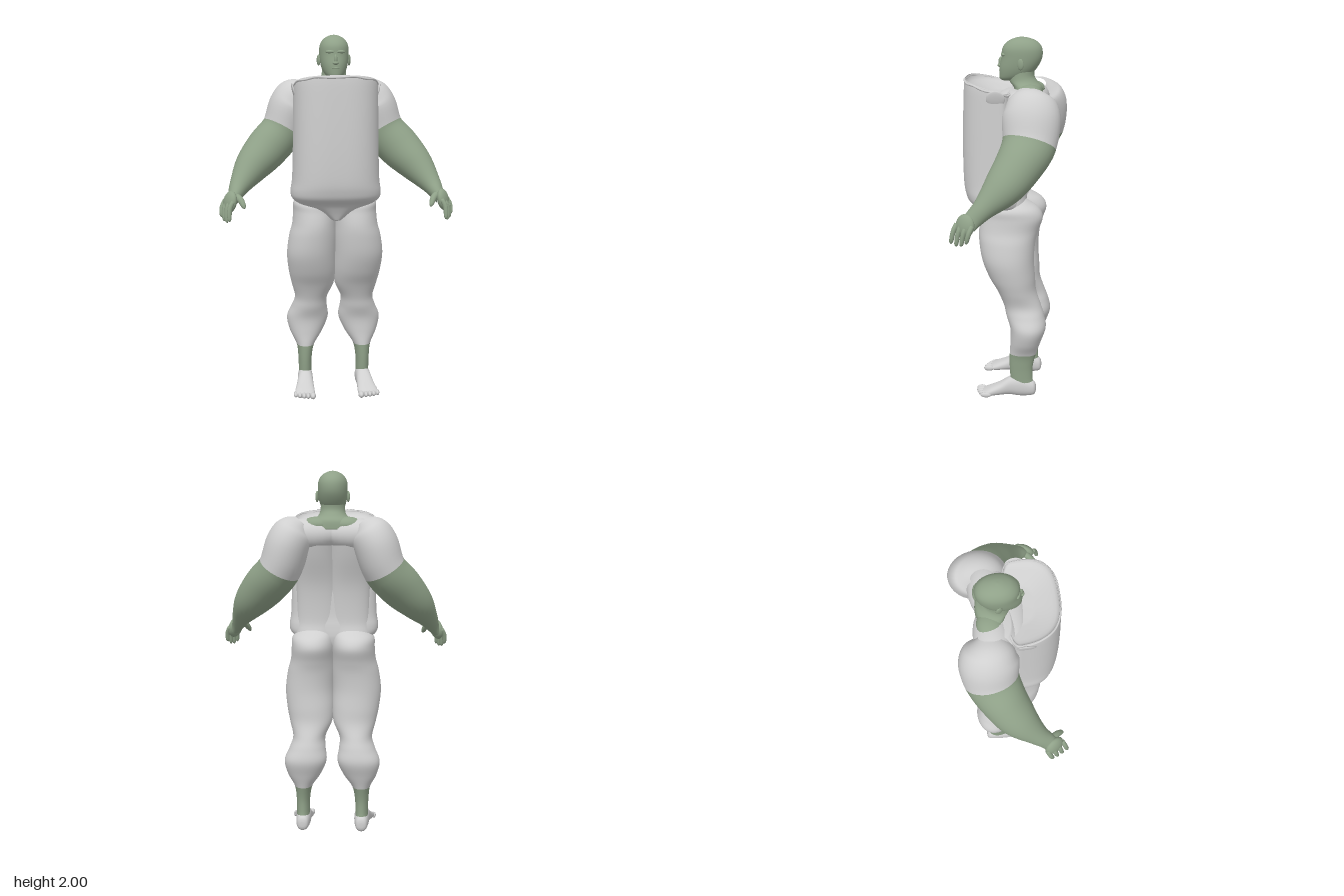
import * as THREE from 'three';

const V = (x, y, z) => new THREE.Vector3(x, y, z);

// Catmull-Rom resampling of key rows, column by column
function smooth(keys, steps = 5) {
  const cr = (a, b, c, d, t) => b + 0.5 * t * (c - a + t * (2 * a - 5 * b + 4 * c - d + t * (3 * (b - c) + d - a)));
  const at = i => keys[Math.min(Math.max(i, 0), keys.length - 1)];
  const rows = [];
  for (let i = 0; i < keys.length - 1; i++)
    for (let s = 0; s < steps; s++)
      rows.push(keys[i].map((_, k) => cr(at(i - 1)[k], at(i)[k], at(i + 1)[k], at(i + 2)[k], s / steps)));
  rows.push(keys[keys.length - 1]);
  return rows;
}

// closed skin over equal-length rings, optionally capped at both ends
function skin(rings, caps = true) {
  const n = rings[0].length, pos = [], idx = [];
  rings.forEach(r => r.forEach(p => pos.push(p.x, p.y, p.z)));
  for (let i = 0; i < rings.length - 1; i++)
    for (let j = 0; j < n; j++) {
      const a = i * n + j, b = i * n + (j + 1) % n;
      idx.push(a, b, a + n, b, b + n, a + n);
    }
  if (caps) [0, rings.length - 1].forEach((ri, end) => {
    const c = rings[ri].reduce((s, p) => s.add(p), V(0, 0, 0)).divideScalar(n), ci = pos.length / 3;
    pos.push(c.x, c.y, c.z);
    for (let j = 0; j < n; j++) {
      const a = ri * n + j, b = ri * n + (j + 1) % n;
      end ? idx.push(a, b, ci) : idx.push(b, a, ci);
    }
  });
  const g = new THREE.BufferGeometry();
  g.setAttribute('position', new THREE.Float32BufferAttribute(pos, 3));
  g.setIndex(idx);
  g.computeVertexNormals();
  return g;
}

// superellipse outline in the unit square
function outline(n, e) {
  const f = v => Math.sign(v) * Math.pow(Math.abs(v), 2 / e);
  return Array.from({ length: n }, (_, i) => {
    const a = i / n * Math.PI * 2;
    return [f(Math.cos(a)), f(Math.sin(a))];
  });
}

// horizontal rings from rows of [y, cx, cz, rx, front depth, back depth, tilt]
function levelRings(rows, e = 2, n = 40) {
  return rows.map(([y, cx, cz, rx, rf, rb, tilt = 0]) => outline(n, e).map(([u, v]) => {
    const z = cz - v * (v < 0 ? rf : rb);
    return V(cx + u * rx, y + tilt * z, z);
  }));
}

// rings square to a path, from rows of [x, y, z, ru, rv]
function pathRings(rows, n = 32) {
  const p = rows.map(r => V(r[0], r[1], r[2]));
  return rows.map((r, i) => {
    const t = p[Math.min(i + 1, p.length - 1)].clone().sub(p[Math.max(i - 1, 0)]).normalize();
    const u = t.clone().cross(V(0, 0, 1)).normalize(), w = t.clone().cross(u);
    return outline(n, 2).map(([a, b]) => p[i].clone().addScaledVector(u, a * r[3]).addScaledVector(w, b * r[4]));
  });
}

function ball(x, y, z, rx, ry, rz) {
  return new THREE.SphereGeometry(1, 24, 16).scale(rx, ry, rz).translate(x, y, z);
}

export function createModel() {
  const model = new THREE.Group();
  model.name = 'figure';
  const green = new THREE.MeshStandardMaterial({ color: 0x8fa188 });
  green.name = 'green skin';
  const grey = new THREE.MeshStandardMaterial({ color: 0xcfcfcf });
  grey.name = 'pale suit';

  const add = (name, geo, mat) => {
    const m = new THREE.Mesh(geo, mat);
    m.name = name;
    model.add(m);
  };
  const pair = (name, geo, mat) => {
    const g = geo.clone().scale(-1, 1, 1), a = g.index.array;
    for (let i = 0; i < a.length; i += 3) [a[i], a[i + 1]] = [a[i + 1], a[i]];
    add(name + 'Left', geo, mat);
    add(name + 'Right', g, mat);
  };

  // bulging front shell of the torso, tapering to the crotch, with a dished top
  const shell = levelRings(smooth([
    [1.00, 0, 0.03, 0.03, 0.12, 0.06, 0], [1.05, 0, 0.03, 0.12, 0.143, 0.09, 0], [1.09, 0, 0.04, 0.205, 0.158, 0.11, 0],
    [1.12, 0, 0.05, 0.240, 0.188, 0.12, 0], [1.16, 0, 0.05, 0.247, 0.207, 0.115, 0],
    [1.23, 0, 0.05, 0.238, 0.219, 0.105, 0], [1.40, 0, 0.05, 0.233, 0.223, 0.10, 0], [1.60, 0, 0.05, 0.230, 0.219, 0.07, 0.08],
    [1.715, 0, 0.05, 0.226, 0.21, 0.06, 0.25], [1.705, 0, 0.05, 0.205, 0.19, 0.06, 0.2],
    [1.69, 0, 0.03, 0.10, 0.10, 0.05, 0.1]]), 2.7, 64);
  add('torsoShell', skin(shell), grey);
  add('shellRim', new THREE.TubeGeometry(
    new THREE.CatmullRomCurve3(shell[40].map((p, i) => V(p.x, p.y - 0.003 + 0.003 * Math.sin(i * 0.9), p.z)), true),
    128, 0.006, 8, true), grey);
  pair('shellFlap', ball(0, 0, 0, 0.008, 0.045, 0.05).rotateZ(-0.25).translate(0.228, 1.70, 0.07), grey);

  // back, two columns of muscle meeting at the spine
  pair('back', skin(levelRings(smooth([
    [1.04, 0.10, 0, 0.11, 0.08, 0.10], [1.12, 0.095, 0, 0.115, 0.08, 0.080], [1.20, 0.088, 0, 0.115, 0.08, 0.068],
    [1.38, 0.09, 0, 0.115, 0.08, 0.085], [1.55, 0.095, 0, 0.12, 0.08, 0.14],
    [1.66, 0.095, 0, 0.12, 0.06, 0.165], [1.73, 0.08, -0.03, 0.09, 0.04, 0.11]]), 2.1)), grey);
  pair('shoulderYoke', ball(0.13, 1.66, -0.085, 0.17, 0.088, 0.098), grey);
  add('upperChest', ball(0, 1.66, 0.0, 0.215, 0.065, 0.10), grey);

  // arms: sleeve, then bare arm running into the hand
  const steps = 6, arm = pathRings(smooth([
    [0.16, 1.725, -0.10, 0.045, 0.06], [0.195, 1.685, -0.105, 0.10, 0.12], [0.235, 1.615, -0.118, 0.120, 0.152],
    [0.283, 1.48, -0.113, 0.118, 0.143], [0.37, 1.38, -0.065, 0.118, 0.125], [0.455, 1.287, 0.002, 0.096, 0.104],
    [0.522, 1.195, 0.09, 0.058, 0.061], [0.55, 1.145, 0.14, 0.039, 0.049], [0.57, 1.11, 0.17, 0.028, 0.045]], steps));
  pair('sleeve', skin(arm.slice(0, 3 * steps + 1), false), grey);
  pair('bareArm', skin(arm.slice(3 * steps), false), green);

  // hands
  pair('palm', ball(0, 0, 0, 0.028, 0.06, 0.056).rotateY(-0.5).rotateZ(0.25).translate(0.577, 1.115, 0.18), green);
  for (let i = 0; i < 4; i++) {
    const f = i / 3, x = 0.612 - 0.042 * f, z = 0.15 + 0.085 * f, drop = [0.05, 0.066, 0.07, 0.062][i];
    pair('finger' + (i + 1), skin(pathRings(smooth([
      [x - 0.008, 1.12, z - 0.01, 0.012, 0.013], [x + 0.008, 1.085, z + 0.005, 0.013, 0.013],
      [x + 0.010, 1.095 - drop, z + 0.016, 0.011, 0.011], [x + 0.004, 1.085 - drop, z + 0.018, 0.005, 0.005]], 3), 12)), green);
  }
  pair('thumb', skin(pathRings(smooth([
    [0.55, 1.145, 0.165, 0.02, 0.02], [0.522, 1.13, 0.20, 0.018, 0.018],
    [0.505, 1.10, 0.228, 0.013, 0.013], [0.50, 1.086, 0.236, 0.005, 0.005]], 3), 12)), green);

  // legs, from the ankle up: bare ankle, then trousers
  const leg = levelRings(smooth([
    [0.08, 0.165, -0.065, 0.036, 0.06, 0.065], [0.115, 0.165, -0.06, 0.036, 0.06, 0.065],
    [0.18, 0.165, -0.06, 0.038, 0.064, 0.066], [0.255, 0.162, -0.068, 0.050, 0.072, 0.076],
    [0.33, 0.156, -0.09, 0.092, 0.09, 0.080], [0.41, 0.148, -0.10, 0.117, 0.102, 0.096],
    [0.48, 0.138, -0.08, 0.100, 0.105, 0.105], [0.54, 0.130, -0.05, 0.091, 0.09, 0.115],
    [0.62, 0.122, -0.03, 0.118, 0.105, 0.108], [0.70, 0.126, -0.01, 0.131, 0.13, 0.122],
    [0.80, 0.132, 0.012, 0.135, 0.146, 0.138], [0.90, 0.125, 0.015, 0.130, 0.160, 0.148],
    [0.97, 0.117, 0.012, 0.120, 0.165, 0.162], [1.04, 0.113, 0.0, 0.118, 0.165, 0.172],
    [1.09, 0.113, 0.01, 0.115, 0.14, 0.160], [1.125, 0.105, 0.0, 0.09, 0.08, 0.095], [1.15, 0.10, 0.0, 0.05, 0.04, 0.05]], steps), 2.1);
  pair('ankle', skin(leg.slice(0, 3 * steps + 1), false), green);
  pair('trouserLeg', skin(leg.slice(3 * steps), false), grey);

  // feet, as upright sections of [z, cx, half width, bottom, top]
  const foot = smooth([
    [-0.145, 0.165, 0.012, 0.03, 0.06], [-0.13, 0.165, 0.032, 0.008, 0.09], [-0.06, 0.165, 0.042, 0.0, 0.118],
    [0.0, 0.167, 0.043, 0.006, 0.112], [0.06, 0.172, 0.049, 0.004, 0.075], [0.12, 0.177, 0.056, 0.0, 0.047],
    [0.155, 0.177, 0.05, 0.003, 0.03]]);
  pair('foot', skin(foot.map(([z, cx, rx, y0, y1]) =>
    outline(32, 2.3).map(([u, v]) => V(cx + u * rx, (y0 + y1) / 2 + v * (y1 - y0) / 2, z)))), grey);
  for (let i = 0; i < 5; i++)
    pair('toe' + (i + 1), ball(0.135 + i * 0.0225 + (i ? 0.004 : 0), 0.018, 0.165 - i * i * 0.002,
      i ? 0.0115 : 0.016, i ? 0.015 : 0.018, 0.03), grey);

  // neck and bare collar
  add('neck', skin(levelRings(smooth([
    [1.69, 0, -0.07, 0.14, 0.06, 0.088], [1.735, 0, -0.07, 0.108, 0.07, 0.083], [1.765, 0, -0.05, 0.076, 0.072, 0.078],
    [1.80, 0, -0.04, 0.066, 0.065, 0.07], [1.86, 0, -0.04, 0.064, 0.06, 0.08]]))), green);
  pair('collarMuscle', ball(0.085, 1.712, -0.094, 0.08, 0.045, 0.066), green);

  // head, from the chin up
  add('head', skin(levelRings(smooth([
    [1.768, 0, 0.03, 0.018, 0.03, 0.03], [1.778, 0, 0.015, 0.042, 0.06, 0.05], [1.80, 0, -0.01, 0.060, 0.088, 0.08],
    [1.84, 0, -0.03, 0.074, 0.107, 0.097], [1.89, 0, -0.04, 0.080, 0.107, 0.112], [1.94, 0, -0.042, 0.078, 0.103, 0.11],
    [1.975, 0, -0.042, 0.06, 0.075, 0.085], [1.994, 0, -0.042, 0.03, 0.036, 0.042], [2.0, 0, -0.042, 0.004, 0.004, 0.004]]), 2.1)), green);
  add('noseBridge', ball(0, 1.866, 0.07, 0.010, 0.028, 0.013), green);
  add('noseTip', ball(0, 1.848, 0.074, 0.017, 0.010, 0.014), green);
  add('upperLip', ball(0, 1.822, 0.070, 0.024, 0.006, 0.010), green);
  add('lowerLip', ball(0, 1.811, 0.068, 0.020, 0.006, 0.010), green);
  add('chin', ball(0, 1.786, 0.060, 0.024, 0.014, 0.016), green);
  pair('brow', ball(0, 0, 0, 0.026, 0.009, 0.010).rotateY(0.35).translate(0.03, 1.908, 0.055), green);
  pair('ear', ball(0, 0, 0, 0.008, 0.030, 0.018).rotateY(-0.35).translate(0.084, 1.863, -0.045), green);

  return model;
}
